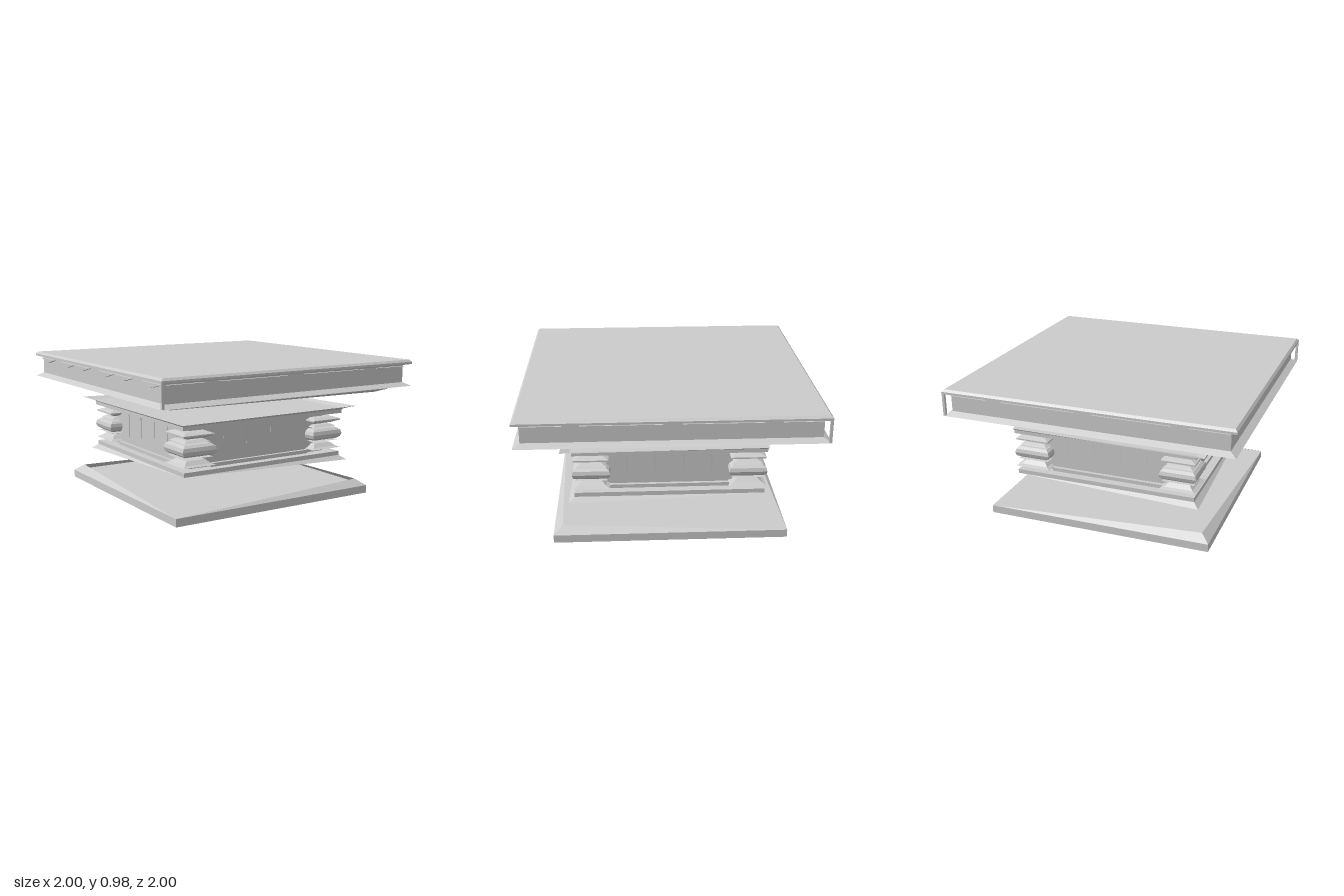
import * as THREE from 'three';

const mat = new THREE.MeshStandardMaterial({ color: 0xcccccc, flatShading: true, side: THREE.DoubleSide });

function add(parent, name, geo, x = 0, y = 0, z = 0) {
  const m = new THREE.Mesh(geo, mat);
  m.name = name;
  m.position.set(x, y, z);
  parent.add(m);
  return m;
}

// Square solid swept from [half width, height] points, bottom to top
function squareLathe(profile) {
  const pts = profile.map(([h, y]) => new THREE.Vector2(h * Math.SQRT2, y));
  return new THREE.LatheGeometry(pts, 4).rotateY(Math.PI / 4);
}

// Thin sloped lips that rise at two opposite corners and taper along the edges
function cornerLips(parent, name, r, y, tipR, tipY) {
  const geo = new THREE.BufferGeometry();
  geo.setAttribute('position', new THREE.Float32BufferAttribute([
    -r, y, r, r, y, r, tipR, tipY, tipR,
    r, y, r, r, y, -r, tipR, tipY, tipR,
  ], 3));
  geo.computeVertexNormals();
  for (const turn of [0, Math.PI]) add(parent, name, geo).rotation.y = turn;
}

function triangle(points, depth) {
  const shape = new THREE.Shape(points.map(([x, y]) => new THREE.Vector2(x, y)));
  return new THREE.ExtrudeGeometry(shape, { depth, bevelEnabled: false });
}

export function createModel() {
  const model = new THREE.Group();
  model.name = 'pedestalTable';

  // Base plate
  add(model, 'basePlate', squareLathe([[0, 0], [0.795, 0], [0.795, 0.055], [0, 0.055]]));
  cornerLips(model, 'baseLip', 0.795, 0.055, 0.735, 0.1);

  // Pedestal body with its lower and upper mouldings
  add(model, 'pedestalBody', squareLathe([
    [0, 0.27], [0.65, 0.27], [0.65, 0.3], [0.565, 0.3], [0.565, 0.58],
    [0.66, 0.58], [0.66, 0.605], [0.67, 0.615], [0, 0.615],
  ]));
  cornerLips(model, 'lowerMouldingLip', 0.65, 0.27, 0.69, 0.24);
  cornerLips(model, 'upperMouldingLip', 0.67, 0.615, 0.735, 0.635);

  // Loose sliver under the pedestal
  const sliver = triangle([[-0.45, 0.225], [-0.02, 0.195], [0, 0.215], [-0.38, 0.24]], 0.005);
  add(model, 'looseSliver', sliver, -0.4).rotation.y = Math.PI / 2;

  // Stacked bands around each corner: a rounded band between thin blades
  const bandProfiles = [
    [[0, 0.325], [0.125, 0.33], [0.1, 0.34], [0.07, 0.365], [0, 0.365]],
    [[0, 0.375], [0.07, 0.375], [0.11, 0.385], [0, 0.39]],
    [[0, 0.395], [0.1, 0.395], [0.122, 0.41], [0.13, 0.435], [0.122, 0.46], [0.1, 0.475], [0, 0.475]],
    [[0, 0.485], [0.1, 0.485], [0.07, 0.5], [0, 0.5]],
    [[0, 0.51], [0.07, 0.51], [0.12, 0.53], [0.12, 0.54], [0.08, 0.555], [0, 0.555]],
  ].map(squareLathe);
  for (const sx of [-1, 1]) for (const sz of [-1, 1]) {
    for (const band of bandProfiles) add(model, 'cornerBand', band, sx * 0.533, 0, sz * 0.533);
  }

  // Table top with a channelled edge
  add(model, 'tableTop', squareLathe([
    [0, 0.765], [0.885, 0.765], [0.885, 0.79], [1, 0.79], [0.955, 0.815], [0.955, 0.935],
    [1, 0.945], [1, 0.96], [0.985, 0.975], [0, 0.975],
  ]));
  cornerLips(model, 'undersideLip', 0.885, 0.765, 0.82, 0.74);
  for (const s of [-1, 1]) {
    add(model, 'cornerPost', new THREE.BoxGeometry(0.018, 0.16, 0.018), s * 0.99, 0.872, -s * 0.99);
  }

  // Side details, repeated on all four sides
  const pendant = triangle([[-0.13, 0.93], [0, 0.9], [0.13, 0.93]], 0.025);
  const groove = new THREE.ConeGeometry(0.012, 0.2, 3).rotateX(Math.PI);
  for (let i = 0; i < 4; i++) {
    const side = new THREE.Group();
    side.name = 'sideDetails';
    side.rotation.y = i * Math.PI / 2;
    for (const x of [0.19, 0.45, 0.82]) for (const s of [-1, 1]) {
      add(side, 'edgePendant', pendant, s * x, 0, 0.95);
    }
    for (const x of [-0.29, -0.1, 0.1, 0.29]) add(side, 'panelFlute', groove, x, 0.47, 0.567);
    add(side, 'panelPlinth', new THREE.BoxGeometry(0.82, 0.025, 0.03), 0, 0.3125, 0.575);
    model.add(side);
  }
  return model;
}
